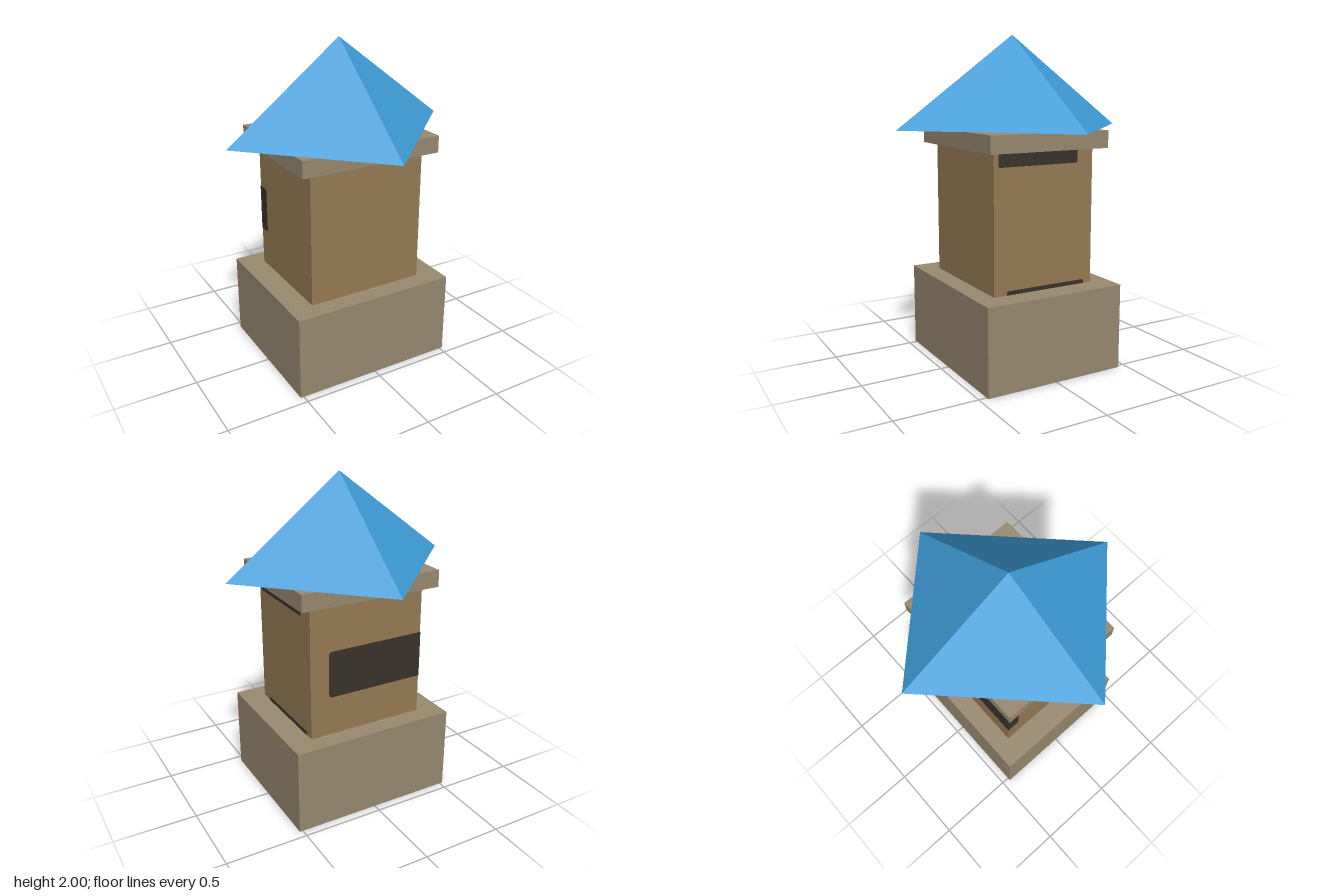
import * as THREE from 'three';

export function createModel() {
  const group = new THREE.Group();
  group.name = 'roofedPillar';

  const mat = (name, color, extra = {}) => {
    const m = new THREE.MeshStandardMaterial({ color, ...extra });
    m.name = name;
    return m;
  };
  const stone = mat('stone', 0x99896f);
  const wood = mat('wood', 0x957b54);
  const blue = mat('roofBlue', 0x3d9cd8, { flatShading: true });
  const dark = mat('darkOpening', 0x3a322b);

  const add = (name, geometry, material) => {
    const mesh = new THREE.Mesh(geometry, material);
    mesh.name = name;
    group.add(mesh);
    return mesh;
  };

  // Stacked blocks, given by half width, half depth, bottom and top
  const block = (name, hx, hz, y0, y1, material) =>
    add(name, new THREE.BoxGeometry(hx * 2, y1 - y0, hz * 2), material)
      .position.set(0, (y0 + y1) / 2, 0);
  const bodyX = 0.373, bodyZ = 0.332;
  block('base', 0.52, 0.45, 0, 0.522, stone);
  block('body', bodyX, bodyZ, 0.522, 1.334, wood);
  block('cap', 0.449, 0.39, 1.342, 1.445, stone);

  // Pyramid roof: a slightly oblong square turned by an eighth
  const roof = new THREE.ConeGeometry(Math.SQRT1_2, 0.548, 4);
  roof.rotateY(Math.PI / 4).scale(1.096, 1, 0.983).rotateY(Math.PI / 4);
  add('roof', roof, blue).position.y = 1.726;

  // Flat dark panels; corner radii run bottom left, bottom right, top right, top left
  const panel = (name, x0, x1, y0, y1, [bl, br, tr, tl], angle, distance) => {
    const s = new THREE.Shape();
    s.moveTo(x0 + bl, y0);
    s.lineTo(x1 - br, y0);
    s.quadraticCurveTo(x1, y0, x1, y0 + br);
    s.lineTo(x1, y1 - tr);
    s.quadraticCurveTo(x1, y1, x1 - tr, y1);
    s.lineTo(x0 + tl, y1);
    s.quadraticCurveTo(x0, y1, x0, y1 - tl);
    s.lineTo(x0, y0 + bl);
    s.quadraticCurveTo(x0, y0, x0 + bl, y0);
    const g = new THREE.ShapeGeometry(s, 4);
    g.translate(0, 0, distance + 0.002).rotateY(angle);
    add(name, g, dark);
  };
  const r = 0.025;
  const q = Math.PI / 2;
  // Opening on the back that wraps round one corner
  panel('backWindow', -0.255, bodyX + 0.002, 0.763, 1.052, [r, 0, 0, r], Math.PI, bodyZ);
  panel('windowReturn', -bodyZ - 0.002, -0.25, 0.763, 1.052, [0, r, r, 0], -q, bodyX);
  // Narrow slots at the top and bottom of the left side
  panel('upperSlot', -0.302, 0.226, 1.258, 1.334, [0.012, 0.012, 0, 0], q, bodyX);
  panel('lowerSlot', -0.25, 0.278, 0.522, 0.547, [0, 0, 0.012, 0.012], q, bodyX);

  return group;
}
